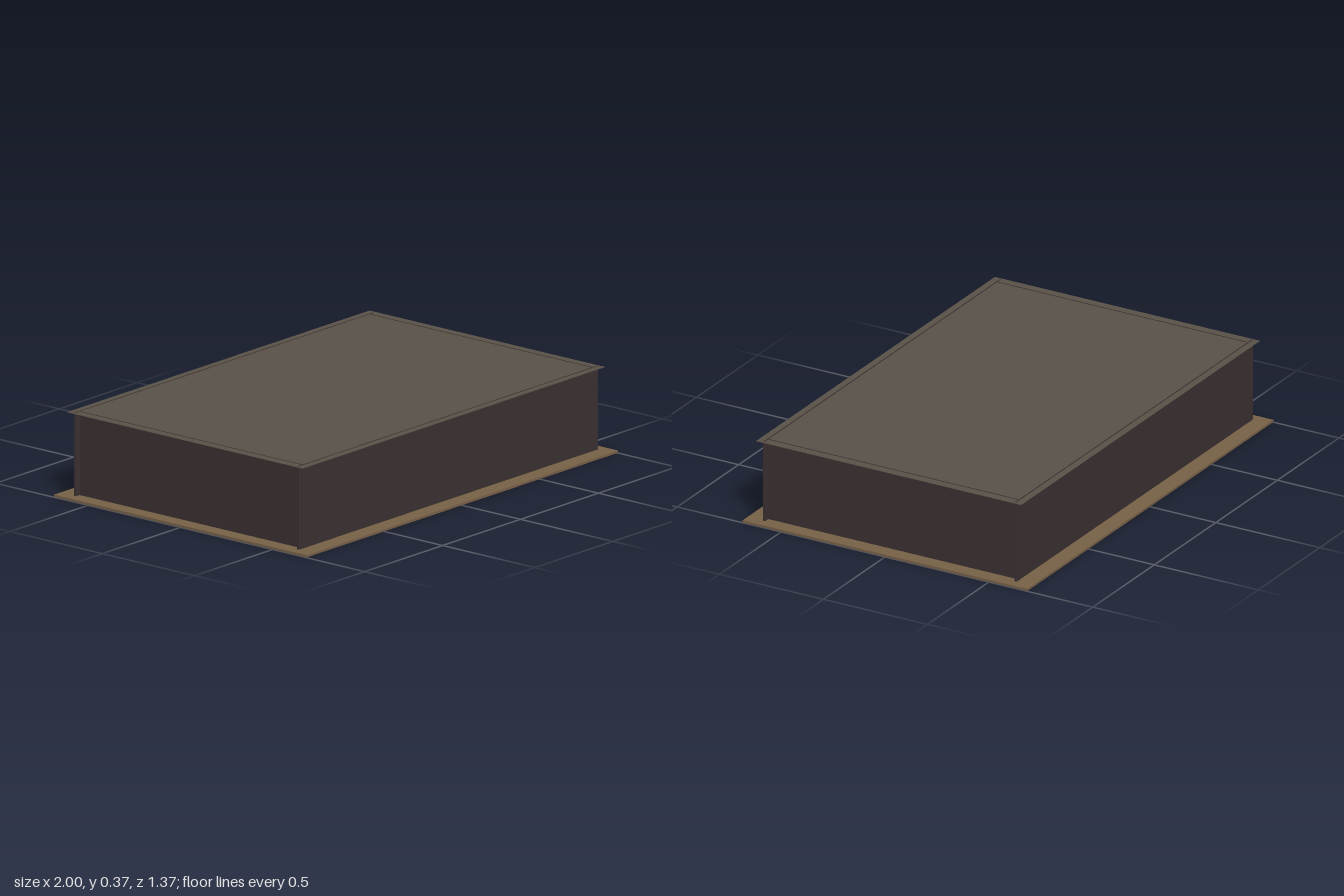
import * as THREE from 'three';

const material = (name, color) => {
  const m = new THREE.MeshStandardMaterial({ color });
  m.name = name;
  return m;
};

export function createModel() {
  const group = new THREE.Group();
  const brown = material('warm brown', 0x765f46);
  const dark = material('dark umber', 0x3a2f30);
  const grey = material('grey brown', 0x585047);

  const add = (name, geometry, mat) => {
    const mesh = new THREE.Mesh(geometry, mat);
    mesh.name = name;
    group.add(mesh);
    return mesh;
  };
  const rect = (x0, y0, x1, y1) => new THREE.Shape([
    new THREE.Vector2(x0, y0), new THREE.Vector2(x1, y0),
    new THREE.Vector2(x1, y1), new THREE.Vector2(x0, y1),
  ]);
  const extrude = (shape, depth) =>
    new THREE.ExtrudeGeometry(shape, { depth, bevelEnabled: false, curveSegments: 12 });

  const T = 0.01;       // panel thickness
  const TOP = 0.368;    // underside of the lid

  // Base plate with two curved finger slots
  const base = rect(-1, -0.685, 1, 0.685);
  const radius = 0.28, half = 0.012, sweep = 1.0;
  for (const side of [-1, 1]) {
    const mid = side > 0 ? 0 : Math.PI, cx = side * 0.323;
    const a = mid - sweep, b = mid + sweep;
    const slot = new THREE.Path();
    slot.absarc(cx, 0, radius + half, a, b, false);
    slot.absarc(cx + radius * Math.cos(b), radius * Math.sin(b), half, b, b + Math.PI, false);
    slot.absarc(cx, 0, radius - half, b, a, true);
    slot.absarc(cx + radius * Math.cos(a), radius * Math.sin(a), half, a + Math.PI, a + 2 * Math.PI, false);
    base.holes.push(slot);
  }
  const baseGeometry = extrude(base, 0.01);
  baseGeometry.rotateX(-Math.PI / 2).translate(0, 0.001, 0);
  add('basePlate', baseGeometry, brown);

  // Long walls with a row of pinholes below the top edge
  const wall = rect(-0.96, 0, 0.96, TOP);
  const pinhole = (x, y) => {
    const hole = new THREE.Path();
    hole.absarc(x, y, 0.003, 0, Math.PI * 2, true);
    wall.holes.push(hole);
  };
  for (let i = 0; i < 12; i++) pinhole(-0.855 + i * 0.1555, 0.3);
  for (const x of [-0.855, 0.855]) pinhole(x, 0.335);
  const wallGeometry = extrude(wall, T);
  add('frontWall', wallGeometry, dark).position.z = 0.6;
  add('backWall', wallGeometry, dark).position.z = -0.61;

  // Short walls, set in from the ends of the long walls
  const endGeometry = new THREE.BoxGeometry(T, TOP, 1.2);
  for (const side of [-1, 1]) {
    add(side > 0 ? 'leftWall' : 'rightWall', endGeometry, dark).position.set(side * 0.93, TOP / 2, 0);
    // Tabs that carry each short wall across the long walls
    for (const z of [-1, 1]) {
      add('cornerTab', new THREE.BoxGeometry(T + 0.002, TOP, 0.012), dark)
        .position.set(side * 0.93, TOP / 2, z * 0.605);
    }
  }

  // Thin overhanging lid
  add('lid', new THREE.BoxGeometry(1.94, 0.002, 1.275), grey).position.y = TOP + 0.001;

  // Inlaid joint lines on the lid above the walls
  const line = (w, d, x, z) =>
    add('jointLine', new THREE.BoxGeometry(w, 0.001, d), dark).position.set(x, TOP + 0.002, z);
  for (const s of [-1, 1]) {
    line(1.92, 0.006, 0, s * 0.605);
    line(0.006, 1.2, s * 0.93, 0);
  }
  return group;
}
